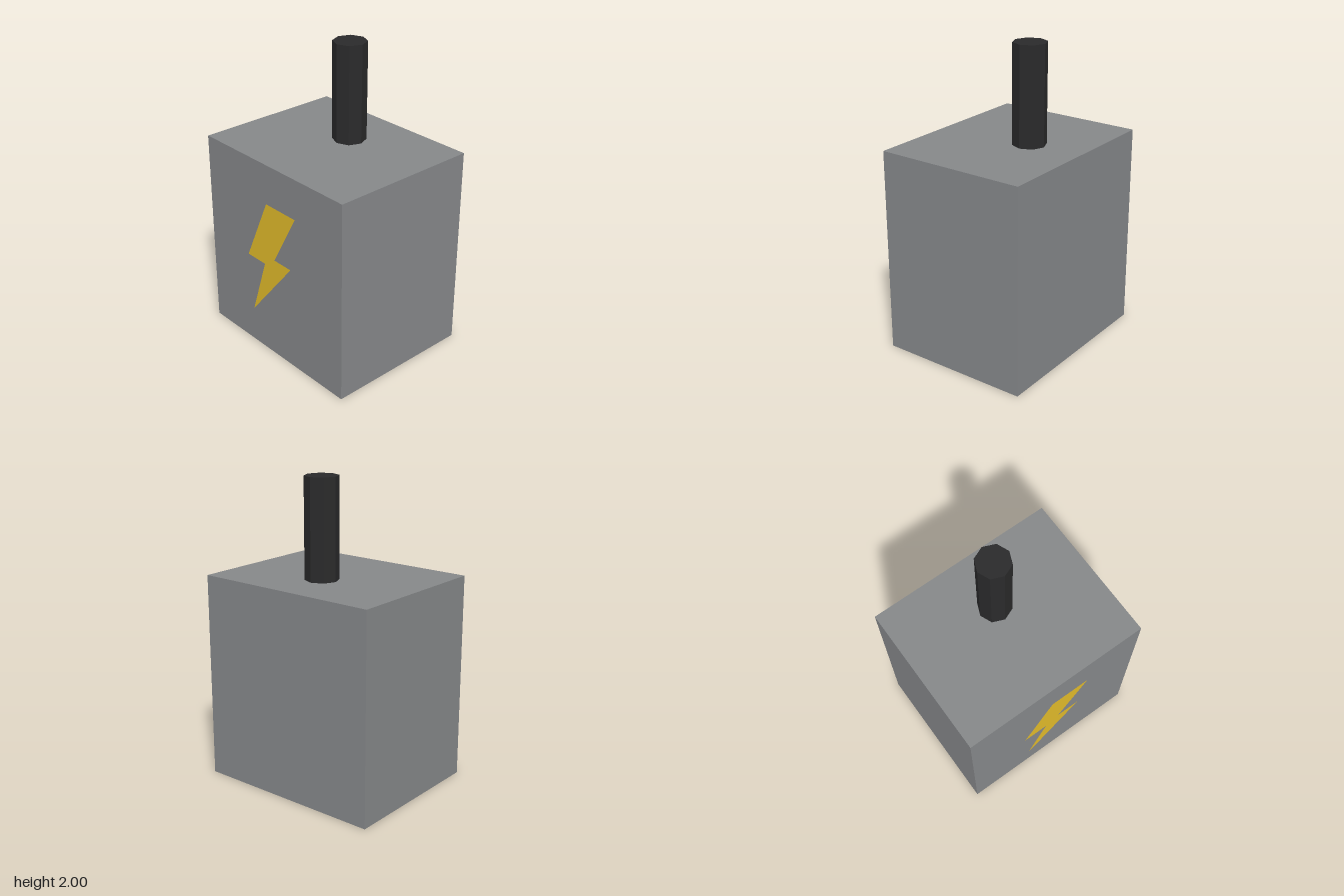
import * as THREE from 'three';

export function createModel() {
  const group = new THREE.Group();

  const add = (name, geometry, color, x, y, z, options = {}) => {
    const material = new THREE.MeshStandardMaterial({ color, ...options });
    const mesh = new THREE.Mesh(geometry, material);
    mesh.name = name;
    mesh.position.set(x, y, z);
    group.add(mesh);
  };

  // Main housing
  add('housing', new THREE.BoxGeometry(1.266, 1.355, 1.011), 0x858789, 0, 0.6775, -0.0075);

  // Eight-sided post, set towards the back of the top
  add('post', new THREE.CylinderGeometry(0.109, 0.109, 0.645, 8), 0x2a2a2b, 0, 1.6775, -0.142,
    { flatShading: true });

  // Flat lightning bolt just in front of the housing
  const bolt = new THREE.Shape([
    [-0.035, 1.10], [-0.235, 0.663], [-0.067, 0.663], [-0.20, 0.263],
    [0.185, 0.73], [0.03, 0.73], [0.235, 1.10],
  ].map(([x, y]) => new THREE.Vector2(x, y)));
  add('lightningBolt', new THREE.ShapeGeometry(bolt), 0xe0b92a, 0, 0, 0.513,
    { side: THREE.DoubleSide });

  return group;
}
